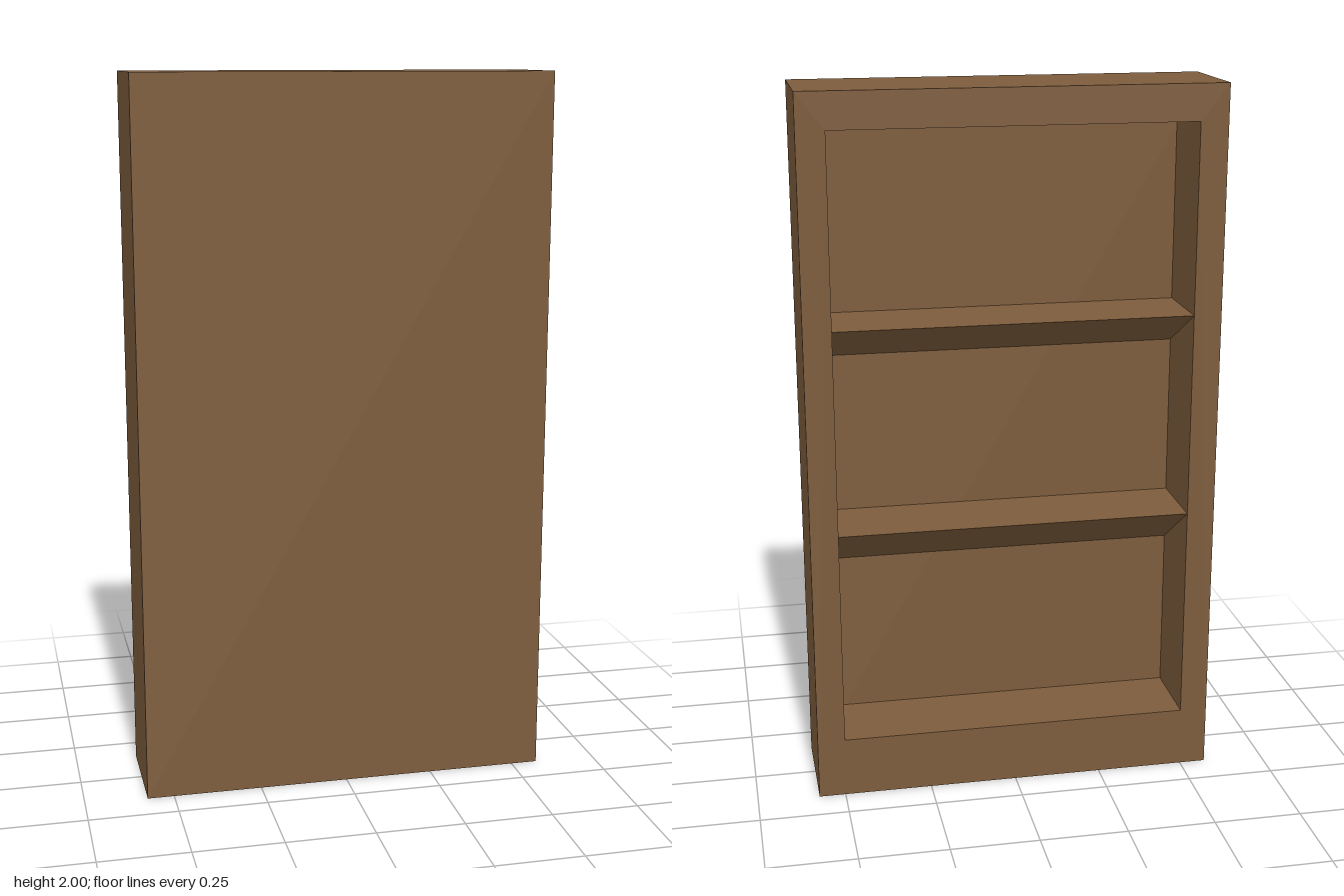
import * as THREE from 'three';

const W = 0.575, H = 2, D = 0.15;          // half width, height, half depth
const IN = 0.497, LOW = 0.173, TOP = 1.9;  // opening half width, bottom, top
const INNER = 0.073;                       // z of the recess wall

export function createModel() {
  const model = new THREE.Group();
  model.name = 'shelfCabinet';
  const wood = new THREE.MeshStandardMaterial({ color: 0x7d5c3c });

  const add = (name, geometry) => {
    const mesh = new THREE.Mesh(geometry, wood);
    mesh.name = name;
    model.add(mesh);
    return mesh;
  };
  const polygon = (points) => new THREE.Shape(points.map(([x, y]) => new THREE.Vector2(x, y)));
  const extrude = (shape, depth) => new THREE.ExtrudeGeometry(shape, { depth, bevelEnabled: false });

  // Rectangular frame around the opening at the back
  const outline = polygon([[-W, 0], [W, 0], [W, H], [-W, H]]);
  outline.holes.push(polygon([[-IN, LOW], [-IN, TOP], [IN, TOP], [IN, LOW]]));
  add('frame', extrude(outline, D + INNER)).position.z = -D;

  // Solid panel closing the front
  const panel = add('frontPanel', new THREE.BoxGeometry(2 * W, H, D - INNER));
  panel.position.set(0, H / 2, (D + INNER) / 2);

  // Wedge shelves: flat on top, thin at the opening, thick at the recess wall
  const shelf = (name, y, thickness) => {
    const profile = polygon([[D, y], [-INNER, y], [-INNER, y - thickness]]); // drawn as (-z, y)
    const geometry = extrude(profile, 2 * IN);
    geometry.rotateY(Math.PI / 2).translate(-IN, 0, 0);
    add(name, geometry);
  };
  shelf('upperShelf', 1.372, 0.122);
  shelf('lowerShelf', 0.793, 0.15);

  return model;
}
